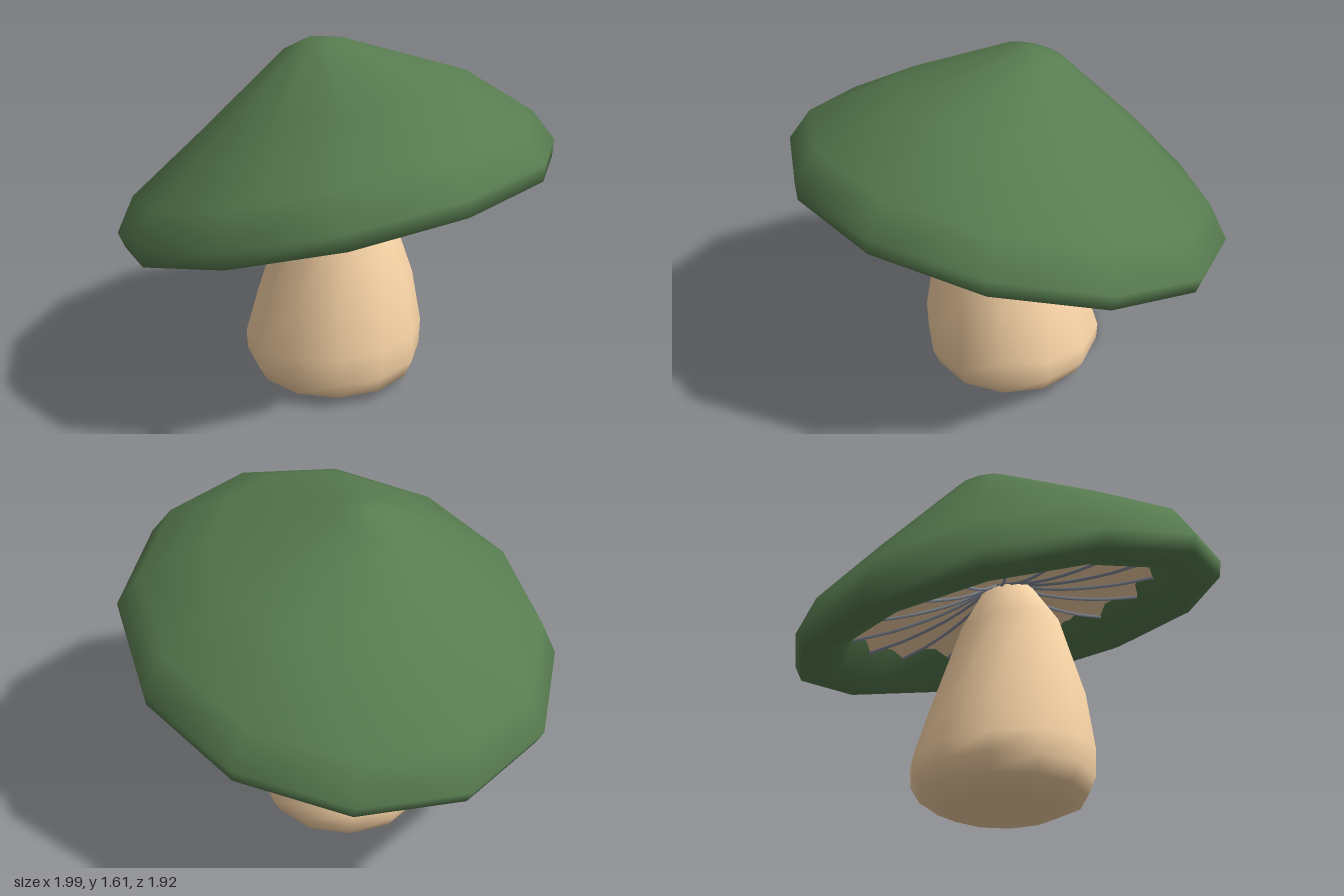
import * as THREE from 'three';
import { mergeVertices } from 'three/addons/utils/BufferGeometryUtils.js';

const PHASE = -0.05;

// Skin rings of { r, y, x, z, tilt } (listed bottom to top) with n sides; lift(j, r) shifts y per vertex
function loft(rings, n, lift = () => 0) {
  const pos = [], index = [];
  for (const { r, y, x = 0, z = 0, tilt = 0 } of rings) {
    for (let j = 0; j < n; j++) {
      const a = PHASE + (j / n) * Math.PI * 2;
      const dz = r * Math.cos(a);
      pos.push(x + r * Math.sin(a), y + tilt * dz + lift(j, r), z + dz);
    }
  }
  for (let i = 0; i < rings.length - 1; i++) {
    for (let j = 0; j < n; j++) {
      const k = (j + 1) % n;
      const a = i * n + j, b = i * n + k, c = a + n, d = b + n;
      if (rings[i].r > 0) index.push(a, b, d);
      if (rings[i + 1].r > 0) index.push(a, d, c);
    }
  }
  let g = new THREE.BufferGeometry();
  g.setAttribute('position', new THREE.Float32BufferAttribute(pos, 3));
  g.setIndex(index);
  g = mergeVertices(g);
  g.computeVertexNormals();
  return g;
}

function part(name, geometry, color, side = THREE.FrontSide) {
  const mesh = new THREE.Mesh(geometry, new THREE.MeshStandardMaterial({ color, side }));
  mesh.name = name;
  return mesh;
}

export function createModel() {
  const model = new THREE.Group();
  model.name = 'mushroom';
  const cream = 0xfbd6a8, green = 0x587c50, grey = 0x858b98;

  // Stem: swollen foot, narrowing and leaning with the cap
  model.add(part('stem', loft([
    { r: 0, y: 0, z: -0.015 },
    { r: 0.26, y: 0, z: -0.015 },
    { r: 0.365, y: 0.05, z: -0.012 },
    { r: 0.403, y: 0.125, z: -0.015, tilt: 0.02 },
    { r: 0.407, y: 0.23, z: -0.015, tilt: 0.09 },
    { r: 0.355, y: 0.47, z: 0, tilt: 0.18 },
    { r: 0.228, y: 0.86, x: -0.005, z: 0.012, tilt: 0.18 },
    { r: 0.12, y: 1.035, x: -0.01, z: 0, tilt: 0.2 },
    { r: 0, y: 1.07, x: -0.01 },
  ], 12), cream));

  // Tilted head holding the cap and its underside
  const head = new THREE.Group();
  head.name = 'head';
  head.position.y = 0.93;
  head.rotation.set(-0.275, 0, 0.06);
  model.add(head);

  // Cap: from the inner lip, around the rim, up to the off-centre crown
  head.add(part('cap', loft([
    { r: 0.69, y: 0.07 },
    { r: 0.8, y: -0.07 },
    { r: 0.9, y: -0.088 },
    { r: 0.98, y: -0.068 },
    { r: 1.0, y: 0.005, z: 0.005 },
    { r: 0.908, y: 0.157, z: 0.035 },
    { r: 0.58, y: 0.4, x: 0.055, z: 0.075 },
    { r: 0.13, y: 0.653, x: 0.01, z: 0.045 },
    { r: 0, y: 0.684, x: 0.01, z: 0.04 },
  ], 12), green, THREE.DoubleSide));

  // Gills: pleated underside rising toward the stem
  const gillRings = [
    { r: 0.04, y: 0.14 },
    { r: 0.25, y: 0.085 },
    { r: 0.5, y: 0.06 },
    { r: 0.71, y: 0.065 },
  ];
  const pleats = 16;
  const depth = (r) => 0.045 * r;
  head.add(part('gills', loft(gillRings, pleats * 2,
    (j, r) => (j % 2 ? depth(r) : -depth(r))), cream, THREE.DoubleSide));

  // Gill edges: a thin rib along each pleat
  const ribs = new THREE.Group();
  ribs.name = 'gillEdges';
  const ribCurve = new THREE.CatmullRomCurve3(
    gillRings.map(({ r, y }) => new THREE.Vector3(0, y - depth(r), r)));
  const ribGeometry = new THREE.TubeGeometry(ribCurve, 8, 0.009, 4);
  for (let i = 0; i < pleats; i++) {
    const rib = part('gillEdge', ribGeometry, grey);
    rib.rotation.y = PHASE + (i / pleats) * Math.PI * 2;
    ribs.add(rib);
  }
  head.add(ribs);

  return model;
}
